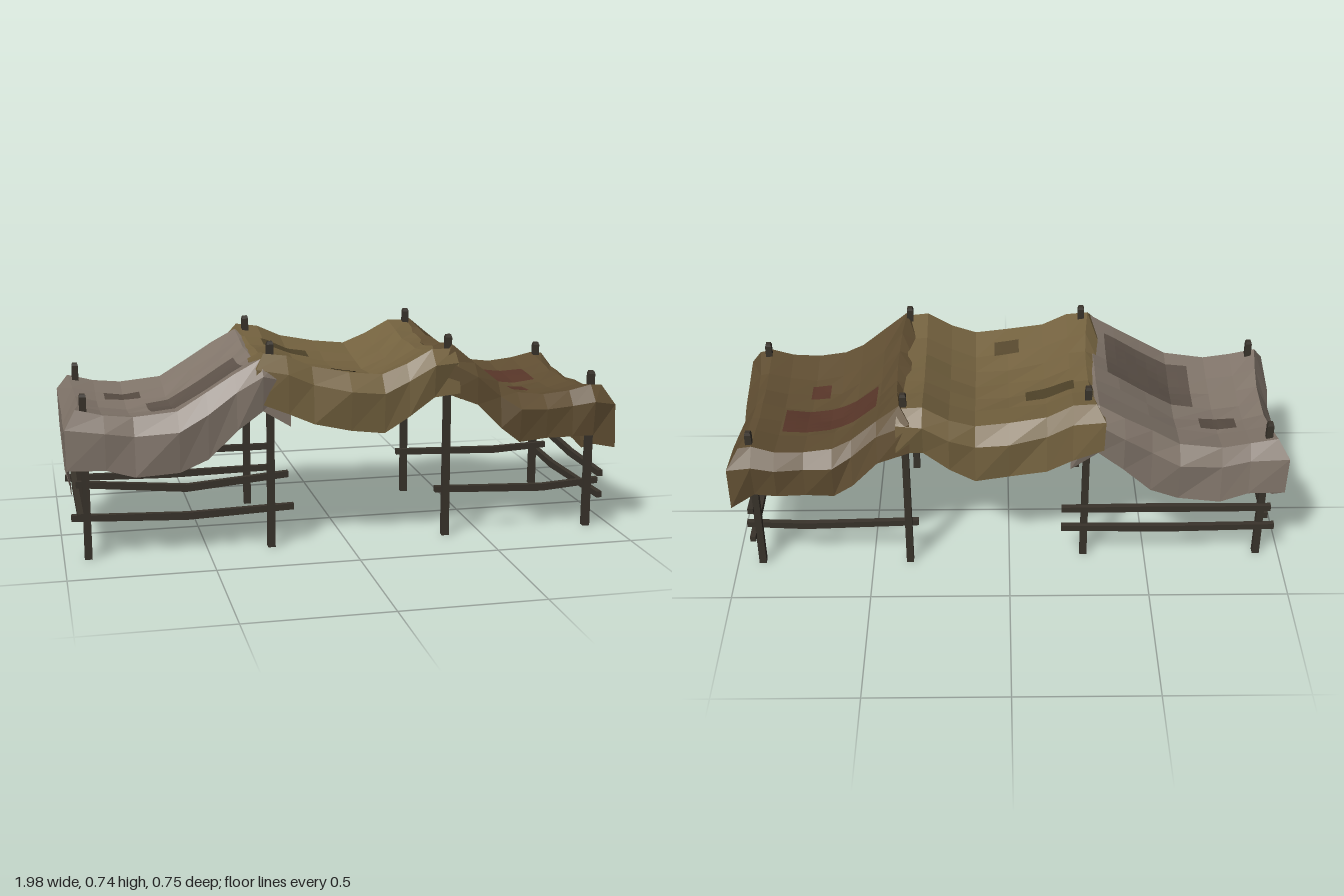
import * as THREE from 'three';

const material = (color, side = THREE.FrontSide) =>
  new THREE.MeshStandardMaterial({ color, side, flatShading: true });
const wood = material(0x39332b);
const ACROSS = [-1, -0.6, -0.3, 0, 0.3, 0.6, 1];

// Small repeatable crumple
const crumple = (a, b, size) => size * Math.sin(a * 2.3 + b * 4.1) * Math.cos(a * 1.7 - b * 1.3);

// Each station along x is [x, y of the edge, y of the skirt's hem].
// Flaps list the hem across each end, from front to back.
const CLOTHS = [
  {
    name: 'greyCloth', color: 0x81756a, z: 0.008, half: 0.298, sag: 0.035, outs: [0.05, 0.035],
    stations: [[-0.945, 0.535, 0.335], [-0.85, 0.512, 0.33], [-0.75, 0.5, 0.3], [-0.6, 0.515, 0.308],
      [-0.5, 0.575, 0.35], [-0.4, 0.635, 0.445], [-0.31, 0.685, 0.51], [-0.24, 0.672, 0.45]],
    flaps: [[0.2, 0.186, 0.18, 0.165, 0.2], [0.52, 0.54, 0.55, 0.54, 0.52]],
    patches: [[-0.82, -0.69, -0.15, -0.08, 0x554a41], [-0.68, -0.36, 0, 0.24, 0x5d5249]],
  },
  {
    name: 'oliveCloth', color: 0x74623f, z: -0.002, half: 0.31, sag: 0.04, outs: [0.04, 0.01],
    stations: [[-0.3, 0.702, 0.54], [-0.22, 0.692, 0.495], [-0.13, 0.65, 0.455], [0, 0.625, 0.425],
      [0.12, 0.612, 0.41], [0.21, 0.645, 0.465], [0.3, 0.695, 0.53], [0.385, 0.692, 0.54]],
    flaps: [[0.58, 0.6, 0.61, 0.6, 0.58], [0.58, 0.6, 0.61, 0.6, 0.58]],
    patches: [[-0.23, -0.06, -0.16, -0.09, 0x4f4329], [-0.04, 0.05, 0.17, 0.24, 0x55472c]],
  },
  {
    name: 'brownCloth', color: 0x604e32, z: -0.008, half: 0.313, sag: 0.035, outs: [0.045, 0.055],
    stations: [[0.378, 0.706, 0.54], [0.46, 0.637, 0.495], [0.55, 0.565, 0.405], [0.62, 0.525, 0.35],
      [0.72, 0.512, 0.36], [0.82, 0.52, 0.36], [0.9, 0.54, 0.36], [0.945, 0.535, 0.31]],
    flaps: [[0.59, 0.61, 0.62, 0.61, 0.59], [0.28, 0.242, 0.252, 0.263, 0.28]],
    patches: [[0.47, 0.81, -0.18, -0.03, 0x583629], [0.66, 0.73, 0.05, 0.13, 0x583629]],
  },
];

function surface(positions, index) {
  const geometry = new THREE.BufferGeometry();
  geometry.setAttribute('position', new THREE.Float32BufferAttribute(positions.flat(), 3));
  geometry.setIndex(index);
  const flat = geometry.toNonIndexed();
  flat.computeVertexNormals();
  return flat;
}

// Two triangles per cell of a grid stored row by row
function gridIndex(rows, cols) {
  const index = [];
  for (let i = 0; i < rows - 1; i++) {
    for (let j = 0; j < cols - 1; j++) {
      const a = i * cols + j, c = a + cols;
      index.push(a, a + 1, c, a + 1, c + 1, c);
    }
  }
  return index;
}

// +1 or -1 at the ends of a row of n, otherwise 0
const endSign = (i, n) => (i === 0 ? -1 : i === n - 1 ? 1 : 0);

// The end edges are drawn inward between the posts
function topPoint(cloth, i, j) {
  const [x, y] = cloth.stations[i], t = ACROSS[j];
  const edge = Math.abs(t) === 1;
  return [x - endSign(i, cloth.stations.length) * 0.02 * (1 - t * t),
    y - cloth.sag * (1 - t * t) + (edge ? 0 : crumple(i, j, 0.008)),
    cloth.z + t * cloth.half + (edge ? crumple(i, t, 0.01) : 0)];
}

// Height of the sagging top, used to lay patches on it
function topHeight(cloth, x, z) {
  const s = cloth.stations, t = (z - cloth.z) / cloth.half;
  const i = s.findIndex((_, k) => k === s.length - 2 || x <= s[k + 1][0]);
  const j = ACROSS.findIndex((_, k) => t <= ACROSS[k + 1]);
  const u = (x - s[i][0]) / (s[i + 1][0] - s[i][0]);
  const v = (t - ACROSS[j]) / (ACROSS[j + 1] - ACROSS[j]);
  const row = (k) => THREE.MathUtils.lerp(topPoint(cloth, k, j)[1], topPoint(cloth, k, j + 1)[1], v);
  return THREE.MathUtils.lerp(row(i), row(i + 1), u);
}

// Sagging top with a skirt of two bands hanging round its whole edge
function makeCloth(cloth) {
  const group = new THREE.Group();
  group.name = cloth.name;
  const n = cloth.stations.length, m = ACROSS.length;
  const points = [];
  for (let i = 0; i < n; i++) for (let j = 0; j < m; j++) points.push(topPoint(cloth, i, j));
  const index = gridIndex(n, m);

  // Edge loop: front, right end, back, left end
  const loop = [];
  for (let i = 0; i < n; i++) loop.push([i, m - 1]);
  for (let j = m - 2; j >= 0; j--) loop.push([n - 1, j]);
  for (let i = n - 2; i >= 0; i--) loop.push([i, 0]);
  for (let j = 1; j < m - 1; j++) loop.push([0, j]);

  const first = points.length, count = loop.length;
  loop.forEach(([i, j], k) => {
    const [x, y, z] = points[i * m + j];
    const side = endSign(j, m), end = endSign(i, n), which = end < 0 ? 0 : 1;
    const out = end * cloth.outs[which];
    const hem = side ? cloth.stations[i][2] : cloth.flaps[which][m - 2 - j];
    const fold = crumple(k, 1, 0.014);
    points.push([x + out * (side ? 0.8 : 1) + end * fold * 0.5,
      y + (hem - y) * 0.3, z + side * (0.043 + fold)]);
    points.push([x + out * 0.7 - end * fold * 0.5, hem, z + side * (0.047 - fold * 0.7)]);
  });
  for (let k = 0; k < count; k++) {
    const column = (q) => [loop[q][0] * m + loop[q][1], first + q * 2, first + q * 2 + 1];
    const a = column(k), b = column((k + 1) % count);
    for (let r = 0; r < 2; r++) index.push(a[r], a[r + 1], b[r], a[r + 1], b[r + 1], b[r]);
  }
  const sheet = new THREE.Mesh(surface(points, index), material(cloth.color, THREE.DoubleSide));
  sheet.name = 'sheet';
  group.add(sheet);

  // Sewn patches
  for (const [x0, x1, z0, z1, color] of cloth.patches) {
    const quad = [];
    for (let i = 0; i <= 8; i++) {
      for (let j = 0; j <= 6; j++) {
        const x = x0 + (x1 - x0) * i / 8, z = z0 + (z1 - z0) * j / 6;
        quad.push([x, topHeight(cloth, x, z) + 0.006, z]);
      }
    }
    const patch = new THREE.Mesh(surface(quad, gridIndex(9, 7)), material(color, THREE.DoubleSide));
    patch.name = 'patch';
    group.add(patch);
  }
  return group;
}

// Square post with a chamfered tip
function makePost(x, z, height) {
  const profile = [[0, 0], [0.0185, 0], [0.0165, height - 0.01], [0.012, height], [0, height]]
    .map(([r, y]) => new THREE.Vector2(r, y));
  const post = new THREE.Mesh(new THREE.LatheGeometry(profile, 4, Math.PI / 4), wood);
  post.name = 'post';
  post.position.set(x, 0, z);
  return post;
}

// Pole from a to b along x or z, bent at one point; heights are start, bend, end
function makeRail(axis, a, b, bend, offset, heights) {
  const geometry = new THREE.BoxGeometry(2, 0.026, 0.02, 2, 1, 1);
  const p = geometry.attributes.position;
  for (let i = 0; i < p.count; i++) {
    const station = Math.round(p.getX(i)) + 1;
    p.setX(i, [a, bend, b][station]);
    p.setY(i, p.getY(i) * (station === 1 ? 1 : 0.85) + heights[station]);
  }
  geometry.computeVertexNormals();
  const rail = new THREE.Mesh(geometry, wood);
  rail.name = 'rail';
  if (axis === 'x') rail.position.z = offset;
  else {
    rail.rotation.y = -Math.PI / 2;
    rail.position.x = offset;
  }
  return rail;
}

export function createModel() {
  const model = new THREE.Group();
  model.name = 'patchworkShelter';
  for (const cloth of CLOTHS) model.add(makeCloth(cloth));

  // Posts, front and back of each row
  const frame = new THREE.Group();
  frame.name = 'frame';
  for (const [x, back, height] of [[-0.917, -0.258, 0.585], [-0.274, -0.258, 0.74],
    [0.366, -0.296, 0.74], [0.91, -0.296, 0.585]]) {
    frame.add(makePost(x, 0.285, height), makePost(x, back, height));
  }

  // Rails of the left bay, right bay and both ends
  frame.add(
    makeRail('x', -0.97, -0.19, -0.57, 0.268, [0.145, 0.128, 0.14]),
    makeRail('x', -0.95, -0.21, -0.57, 0.268, [0.265, 0.23, 0.26]),
    makeRail('x', -0.97, -0.19, -0.57, -0.275, [0.138, 0.13, 0.135]),
    makeRail('x', -0.95, -0.19, -0.57, -0.275, [0.222, 0.222, 0.22]),
    makeRail('x', 0.33, 0.955, 0.74, 0.27, [0.17, 0.153, 0.168]),
    makeRail('x', 0.33, 0.955, 0.74, -0.278, [0.168, 0.155, 0.165]),
    makeRail('z', -0.25, 0.33, -0.11, -0.94, [0.162, 0.15, 0.165]),
    makeRail('z', -0.34, 0.36, -0.12, 0.93, [0.138, 0.125, 0.137]),
    makeRail('z', -0.325, 0.36, 0.07, 0.93, [0.255, 0.222, 0.218]),
  );
  model.add(frame);
  return model;
}
